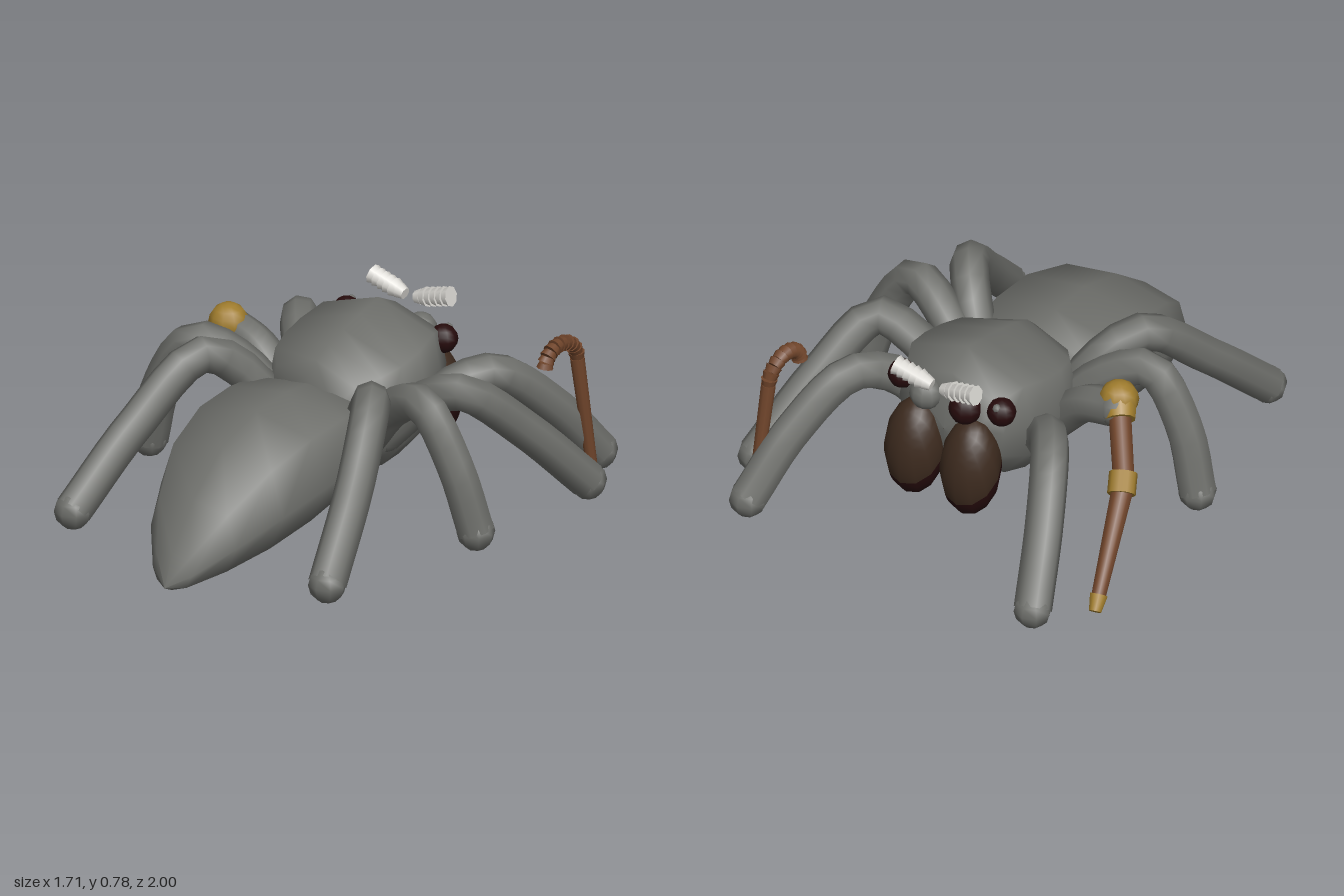
import * as THREE from 'three';

const V = (x, y, z) => new THREE.Vector3(x, y, z);
const mat = (name, color) => {
  const m = new THREE.MeshStandardMaterial({ color });
  m.name = name;
  return m;
};
const CX = -0.018; // the body's middle line

export function createModel() {
  const grey = mat('bodyGrey', 0x6e6f6b);
  const brown = mat('fangBrown', 0x3c2a1e);
  const maroon = mat('darkMaroon', 0x260b0c);
  const wood = mat('wood', 0x70452b);
  const brass = mat('brass', 0x9f7c2d);
  const white = mat('browWhite', 0xd9d7d2);

  const root = new THREE.Group();
  root.name = 'spider';
  const add = (name, geo, material, pos) => {
    const m = new THREE.Mesh(geo, material);
    m.name = name;
    if (pos) m.position.copy(pos);
    root.add(m);
    return m;
  };

  // Body skin through cross-sections [z, halfWidth, bottomY, topY], ordered by rising z
  const loft = (sections, profile) => {
    const n = profile.length, pos = [], idx = [];
    for (const [z, hw, lo, hi] of sections)
      for (const [px, py] of profile)
        pos.push(CX + px * hw, (lo + hi) / 2 + (py * (hi - lo)) / 2, z);
    for (let i = 0; i < sections.length - 1; i++)
      for (let j = 0; j < n; j++) {
        const a = i * n + j, b = i * n + ((j + 1) % n);
        idx.push(a, b, a + n, b, b + n, a + n);
      }
    const g = new THREE.BufferGeometry();
    g.setAttribute('position', new THREE.Float32BufferAttribute(pos, 3));
    g.setIndex(idx);
    g.computeVertexNormals();
    return g;
  };

  // Straight tapered rod between two points
  const rod = (name, a, b, ra, rb, material, sides = 10) => {
    const d = b.clone().sub(a);
    const m = add(name, new THREE.CylinderGeometry(rb, ra, d.length(), sides), material,
      a.clone().add(b).multiplyScalar(0.5));
    m.quaternion.setFromUnitVectors(V(0, 1, 0), d.normalize());
    return m;
  };

  // Abdomen
  add('abdomen', loft([
    [0.0, 0.001, 0.38, 0.382], [0.01, 0.2, 0.24, 0.52], [0.05, 0.325, 0.18, 0.57],
    [0.2, 0.333, 0.145, 0.585], [0.4, 0.33, 0.1, 0.575], [0.62, 0.288, 0.06, 0.505],
    [0.81, 0.2, 0.036, 0.355], [0.95, 0.09, 0.027, 0.178], [0.998, 0.001, 0.05, 0.052],
  ], [[1, 0], [0.8, 0.8], [0, 1], [-0.8, 0.8], [-1, 0], [-0.78, -0.64], [0, -1], [0.78, -0.64]]), grey);

  // Head and thorax in one
  add('head', loft([
    [-0.565, 0.001, 0.48, 0.482], [-0.55, 0.14, 0.36, 0.64], [-0.51, 0.24, 0.28, 0.71],
    [-0.4, 0.295, 0.195, 0.767], [-0.28, 0.317, 0.153, 0.74], [-0.17, 0.312, 0.143, 0.715],
    [-0.07, 0.282, 0.17, 0.688], [0.01, 0.21, 0.2, 0.65], [0.06, 0.1, 0.3, 0.6],
    [0.065, 0.001, 0.45, 0.452],
  ], [[1, 0.1], [0.88, 0.7], [0, 1], [-0.88, 0.7], [-1, 0.1],
    [-0.91, -0.42], [-0.58, -0.82], [0, -1], [0.58, -0.82], [0.91, -0.42]]), grey);

  // Legs: base, knee, shin, foot on the left side, mirrored to the right
  const R = 0.075;
  const legs = [
    [V(0.2, 0.36, -0.3), V(0.33, 0.49, -0.38), V(0.44, 0.53, -0.52), V(0.56, 0.345, -0.74), V(0.637, 0.11, -0.93)],
    [V(0.2, 0.35, -0.14), V(0.38, 0.53, -0.18), V(0.53, 0.58, -0.2), V(0.66, 0.38, -0.42), V(0.772, 0.11, -0.67)],
    [V(0.18, 0.36, -0.07), V(0.35, 0.55, -0.01), V(0.52, 0.612, 0.05), V(0.67, 0.4, 0.055), V(0.75, 0.14, 0.03)],
    [V(0.16, 0.35, -0.01), V(0.27, 0.55, 0.07), V(0.38, 0.64, 0.2), V(0.5, 0.41, 0.48), V(0.58, 0.14, 0.765)],
  ];
  legs.forEach((points, i) => {
    for (const side of [1, -1]) {
      let pts = points.map((p) => (side > 0 ? p.clone() : V(2 * CX - p.x, p.y, p.z)));
      if (side < 0 && i === 1) pts = pts.slice(0, 3); // stump for the peg
      const name = `leg${i + 1}${side > 0 ? 'Left' : 'Right'}`;
      add(name, new THREE.TubeGeometry(new THREE.CatmullRomCurve3(pts), 14, R, 8), grey);
      add(name + 'Hip', new THREE.SphereGeometry(R, 8, 6), grey, pts[0]);
      add(name + 'Foot', new THREE.SphereGeometry(R, 8, 6), grey, pts[pts.length - 1]);
    }
  });

  // Wooden peg leg with brass fittings
  const knee = V(-0.562, 0.605, -0.175), joint = V(-0.733, 0.41, -0.395), tip = V(-0.825, 0.04, -0.73);
  const along = (a, b, t) => a.clone().lerp(b, t);
  add('pegKnob', new THREE.SphereGeometry(0.078, 10, 8), brass, knee);
  rod('pegCollar', knee, along(knee, joint, 0.25), 0.072, 0.06, brass);
  rod('pegThigh', knee, joint, 0.045, 0.042, wood);
  rod('pegJoint', along(joint, knee, 0.12), along(joint, tip, 0.09), 0.055, 0.055, brass);
  rod('pegShin', joint, along(joint, tip, 0.9), 0.045, 0.029, wood);
  rod('pegTip', along(joint, tip, 0.87), tip, 0.036, 0.025, brass);

  // Walking cane: shaft, ringed hook, brass foot
  const foot = V(0.672, 0.0, -0.852), neck = V(0.645, 0.55, -0.778);
  rod('caneShaft', foot, neck, 0.022, 0.029, wood);
  rod('caneFoot', foot, along(foot, neck, 0.09), 0.03, 0.03, brass);
  const hook = (t) => {
    const a = Math.PI * t;
    return V(0.645 - 0.018 * t, 0.55 + 0.08 * Math.sin(a) + 0.02 * t, -0.685 - 0.094 * Math.cos(a));
  };
  for (let i = 0; i < 11; i++)
    rod('caneHookRing', hook(i / 11), hook((i + 1.05) / 11), 0.026, 0.033, wood);

  for (const s of [1, -1]) {
    // Fangs: brown above and in front, maroon below and behind
    const fang = new THREE.Group();
    fang.name = 'fang';
    [[brown, 0, 0.54], [maroon, 0.54, 0.46]].forEach(([m, start, len]) => {
      const cap = new THREE.SphereGeometry(1, 12, 8, 0, Math.PI * 2, Math.PI * start, Math.PI * len);
      const part = new THREE.Mesh(cap.rotateX(-0.6), m);
      part.name = m === brown ? 'fangTop' : 'fangBottom';
      fang.add(part);
    });
    fang.scale.set(0.122, 0.205, 0.112);
    fang.rotation.x = 0.12;
    fang.position.set(CX + s * 0.128, 0.36, -0.57);
    root.add(fang);

    // Eyes; one of the middle pair is grey
    add('outerEye', new THREE.SphereGeometry(0.057, 10, 8), maroon, V(CX + s * 0.228, 0.615, -0.508));
    add('eyeGlint', new THREE.SphereGeometry(0.018, 8, 6), grey, V(CX + s * 0.228, 0.649, -0.54));
    add('middleEye', new THREE.SphereGeometry(0.066, 10, 8), s > 0 ? grey : maroon,
      V(CX + s * 0.09, 0.605, -0.55));

    // Brows: overlapping flared rings, rising outward
    const inner = V(CX + s * 0.025, 0.7, -0.608), outer = V(CX + s * 0.18, 0.738, -0.618);
    for (let i = 0; i < 6; i++) {
      const r = i === 0 ? 0.033 : 0.041;
      rod('browRing', along(inner, outer, i / 6), along(inner, outer, (i + 1.15) / 6), r * 0.72, r, white, 8);
    }
  }
  return root;
}
